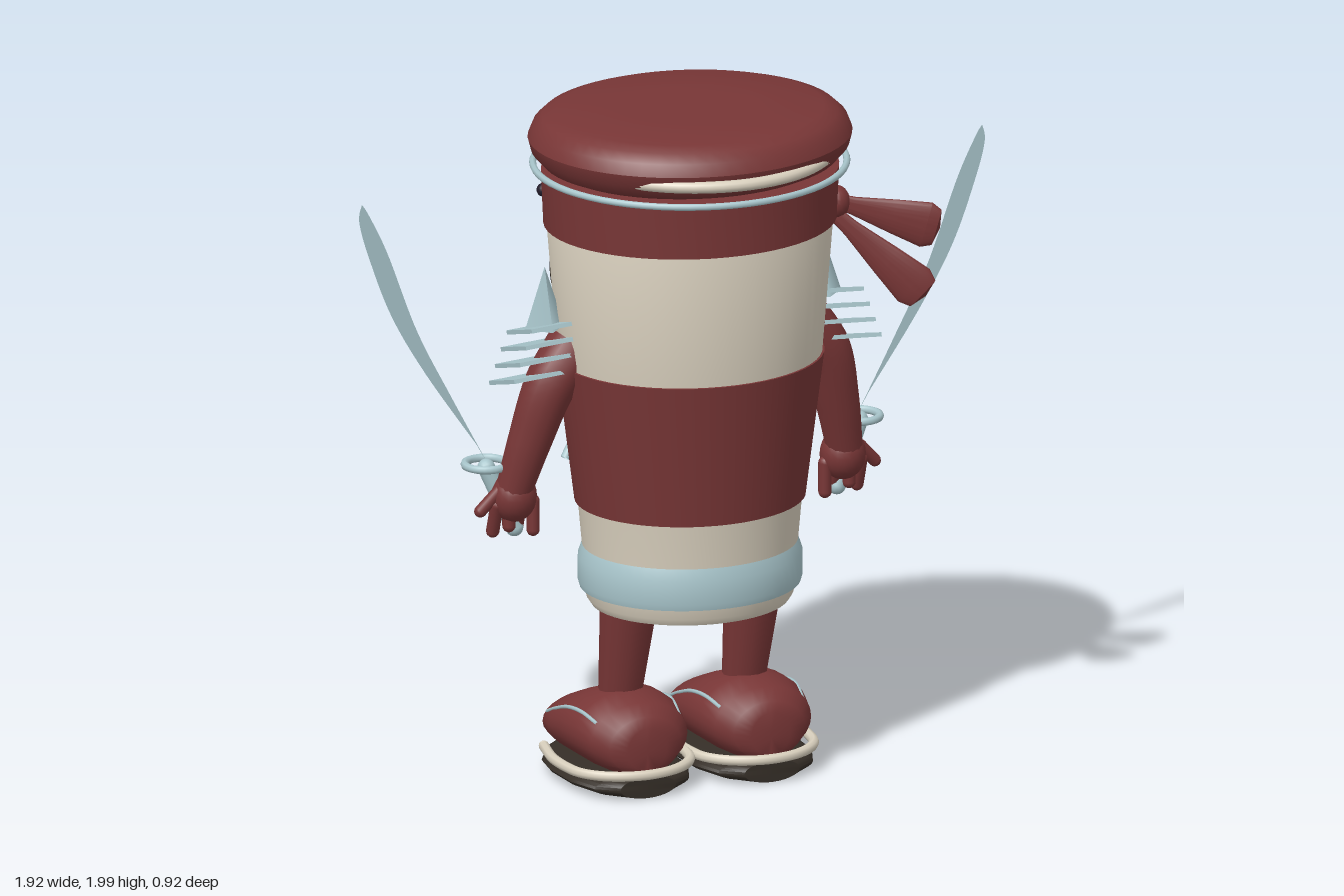
import * as THREE from 'three';
import { toCreasedNormals } from 'three/addons/utils/BufferGeometryUtils.js';

const mat = (name, color, side = THREE.FrontSide) => new THREE.MeshStandardMaterial({ name, color, side });
const red = mat('brick red', 0x783636);
const cream = mat('cream', 0xd9d0be);
const steel = mat('pale steel', 0xa9c6cc, THREE.DoubleSide);
const brown = mat('dark brown', 0x352e27);
const ink = mat('ink purple', 0x231c2b);

const V = (x, y, z) => new THREE.Vector3(x, y, z);

export function createModel() {
  const model = new THREE.Group();
  model.name = 'cupWarrior';

  const add = (parent, name, geo, material, x = 0, y = 0, z = 0) => {
    const m = new THREE.Mesh(geo, material);
    m.name = name;
    m.position.set(x, y, z);
    parent.add(m);
    return m;
  };
  const lathe = (pts) =>
    toCreasedNormals(new THREE.LatheGeometry(pts.map((p) => new THREE.Vector2(p[0], p[1])), 56), 0.6);

  // Capsule between two points
  const rod = (parent, name, a, b, r, material) => {
    const m = add(parent, name, new THREE.CapsuleGeometry(r, a.distanceTo(b), 5, 12), material);
    m.position.copy(a).lerp(b, 0.5);
    m.quaternion.setFromUnitVectors(V(0, 1, 0), b.clone().sub(a).normalize());
    return m;
  };

  // Tube whose radius changes from r0 to r1
  const taperTube = (pts, r0, r1, seg = 20, radial = 14) => {
    const curve = new THREE.CatmullRomCurve3(pts);
    const geo = new THREE.TubeGeometry(curve, seg, 1, radial);
    const pos = geo.attributes.position, v = V(0, 0, 0);
    for (let i = 0; i < pos.count; i++) {
      const t = Math.floor(i / (radial + 1)) / seg, c = curve.getPointAt(t);
      v.fromBufferAttribute(pos, i).sub(c).multiplyScalar(r0 + (r1 - r0) * t).add(c);
      pos.setXYZ(i, v.x, v.y, v.z);
    }
    return geo;
  };

  // Elliptical sections [z, halfWidth, yLow, yHigh] running from heel to toe
  const loft = (sections, n = 28) => {
    const pos = [], idx = [];
    sections.forEach(([z, w, y0, y1], i) => {
      for (let j = 0; j < n; j++) {
        const a = (j / n) * Math.PI * 2;
        pos.push(Math.cos(a) * w, (y0 + y1) / 2 + (Math.sin(a) * (y1 - y0)) / 2, z);
        if (i === sections.length - 1) continue;
        const p = i * n + j, q = i * n + ((j + 1) % n);
        idx.push(p, p + n, q, q, p + n, q + n);
      }
    });
    const g = new THREE.BufferGeometry();
    g.setAttribute('position', new THREE.Float32BufferAttribute(pos, 3));
    g.setIndex(idx);
    g.computeVertexNormals();
    return toCreasedNormals(g, 0.7);
  };

  // Slightly oval cup body
  const cup = new THREE.Group();
  cup.name = 'cupBody';
  cup.position.z = 0.02;
  cup.scale.z = 0.9;
  model.add(cup);
  add(cup, 'cup', lathe([[0, 0.58], [0.24, 0.58], [0.25, 0.545], [0.285, 0.54], [0.298, 0.56],
    [0.302, 0.62], [0.322, 0.84], [0.38, 1.27], [0.412, 1.67], [0.38, 1.8], [0, 1.8]]), cream);
  add(cup, 'lowerBand', lathe([[0.29, 0.592], [0.318, 0.592], [0.323, 0.61], [0.322, 0.68],
    [0.31, 0.715], [0.295, 0.722]]), steel);
  add(cup, 'sleeve', lathe([[0.31, 0.845], [0.332, 0.845], [0.386, 1.27], [0.37, 1.272]]), red);
  add(cup, 'headband', lathe([[0.39, 1.665], [0.421, 1.665], [0.428, 1.82], [0, 1.84]]), red);
  add(cup, 'lid', lathe([[0, 1.835], [0.39, 1.835], [0.425, 1.85], [0.457, 1.885], [0.466, 1.92],
    [0.452, 1.955], [0.425, 1.98], [0.385, 1.993], [0.2, 2.0], [0, 2.0]]), red);

  // Rims below the lid
  const rim = add(model, 'lidRim', new THREE.TorusGeometry(0.446, 0.01, 8, 64), steel, 0, 1.835, 0.018);
  rim.rotation.x = Math.PI / 2;
  rim.scale.y = 0.97;
  const lip = add(model, 'lidLip', new THREE.TorusGeometry(0.425, 0.017, 10, 64), cream, 0, 1.89, 0.02);
  lip.rotation.x = Math.PI / 2;
  lip.scale.x = 0.95;

  // Forehead plate with rivets and an oval ring
  const plate = add(model, 'foreheadPlate',
    new THREE.CylinderGeometry(0.443, 0.437, 0.125, 20, 1, true, Math.PI - 0.54, 1.08), steel, 0, 1.735, 0.02);
  plate.scale.z = 0.915;
  const ring = add(model, 'foreheadRing', new THREE.TorusGeometry(0.055, 0.012, 8, 32), steel, 0, 1.775, -0.445);
  ring.scale.x = 1.65;
  rod(model, 'ringMount', V(0, 1.775, -0.38), V(0, 1.775, -0.42), 0.015, cream);

  for (const s of [-1, 1]) {
    const side = s > 0 ? 'left' : 'right';
    add(model, side + 'Rivet', new THREE.SphereGeometry(0.014, 10, 8), ink, s * 0.185, 1.735, -0.35);

    // Eye: stacked domes turned outward
    const eye = new THREE.Group();
    eye.name = side + 'Eye';
    eye.position.set(s * 0.19, 1.475, -0.31);
    eye.rotation.y = -s * 0.35;
    model.add(eye);
    const dome = (name, material, x, y, z, rx, ry, rz) =>
      add(eye, name, new THREE.SphereGeometry(1, 28, 18), material, x, y, z).scale.set(rx, ry, rz);
    dome('eyeRim', brown, 0, 0, 0, 0.122, 0.165, 0.04);
    dome('eyeWhite', cream, -s * 0.01, -0.01, -0.02, 0.1, 0.138, 0.035);
    dome('iris', brown, -s * 0.015, 0, -0.035, 0.072, 0.102, 0.032);
    dome('pupil', ink, -s * 0.018, 0, -0.046, 0.05, 0.074, 0.029);
    dome('glint', cream, -s * 0.005, 0.035, -0.07, 0.016, 0.024, 0.009);
    rod(model, side + 'Eyebrow', V(s * 0.1, 1.59, -0.39), V(s * 0.29, 1.675, -0.355), 0.02, ink);

    // Curved trim on the chest
    const trim = [V(s * 0.27, 1.15, -0.32), V(s * 0.2, 1.1, -0.345), V(s * 0.17, 1.03, -0.355),
      V(s * 0.19, 0.95, -0.35), V(s * 0.235, 0.88, -0.33)];
    add(model, side + 'ChestTrim', taperTube(trim, 0.013, 0.013, 24, 8), steel);

    // Arm and hand
    add(model, side + 'Arm', taperTube([V(s * 0.34, 1.33, 0), V(s * 0.42, 1.22, 0), V(s * 0.47, 1.06, -0.025),
      V(s * 0.51, 0.89, -0.06)], 0.085, 0.052), red);
    add(model, side + 'Hand', new THREE.SphereGeometry(1, 20, 14), red, s * 0.505, 0.88, -0.065)
      .scale.set(0.066, 0.075, 0.065);
    for (let i = 0; i < 4; i++) {
      const x = s * (0.448 + i * 0.037);
      rod(model, side + 'Finger', V(x, 0.86, -0.06), V(x, 0.775 + (i % 3) * 0.01, -0.06 - (i % 2) * 0.03), 0.019, red);
    }
    rod(model, side + 'Thumb', V(s * 0.555, 0.9, -0.06), V(s * 0.605, 0.845, -0.07), 0.018, red);

    // Sword: paper-thin curved blade, ring guard, hilt
    const blade = new THREE.Shape();
    blade.moveTo(s * 0.555, 0.95);
    blade.splineThru([[0.677, 1.18], [0.783, 1.39], [0.873, 1.63], [0.93, 1.75], [0.952, 1.785]]
      .map((p) => new THREE.Vector2(s * p[0], p[1])));
    blade.splineThru([[0.96, 1.735], [0.932, 1.63], [0.862, 1.445], [0.757, 1.26], [0.6, 1.03]]
      .map((p) => new THREE.Vector2(s * p[0], p[1])));
    add(model, side + 'Blade', new THREE.ShapeGeometry(blade, 6), steel, 0, 0, -0.11);
    add(model, side + 'SwordGuard', new THREE.TorusGeometry(0.06, 0.012, 8, 28), steel, s * 0.572, 0.97, -0.108)
      .rotation.x = Math.PI / 2;
    rod(model, side + 'Hilt', V(s * 0.572, 0.96, -0.105), V(s * 0.495, 0.78, -0.085), 0.026, steel);

    // Layered shoulder guard with a spike
    for (let i = 0; i < 4; i++) {
      const w = 0.135 + i * 0.018;
      const p = add(model, side + 'ShoulderPlate', new THREE.BoxGeometry(w, 0.012, 0.19), steel,
        s * (0.375 + w / 2), 1.385 - i * 0.047, -0.015);
      p.rotation.set(-0.3, 0, -s * 0.06);
    }
    add(model, side + 'ShoulderSpike', new THREE.ConeGeometry(0.06, 0.18, 4), steel, s * 0.425, 1.47, -0.03);

    // Leg
    add(model, side + 'Leg', taperTube([V(s * 0.19, 0.6, 0.035), V(s * 0.19, 0.42, -0.005),
      V(s * 0.19, 0.24, -0.045)], 0.085, 0.06), red);

    // Shoe with sole, rim and lace
    const shoe = new THREE.Group();
    shoe.name = side + 'Shoe';
    shoe.position.x = s * 0.19;
    model.add(shoe);
    add(shoe, 'shoeUpper', loft([[0.162, 0, 0.14, 0.16], [0.16, 0.06, 0.09, 0.215], [0.145, 0.11, 0.075, 0.245],
      [0.1, 0.148, 0.065, 0.275], [0.02, 0.168, 0.06, 0.292], [-0.07, 0.174, 0.06, 0.285], [-0.16, 0.17, 0.06, 0.252],
      [-0.25, 0.148, 0.06, 0.215], [-0.305, 0.11, 0.062, 0.18], [-0.33, 0.065, 0.07, 0.15], [-0.336, 0, 0.1, 0.12]]), red);
    add(shoe, 'sole', loft([[0.166, 0, 0.012, 0.075], [0.166, 0.085, 0.012, 0.075], [0.12, 0.145, 0.01, 0.075],
      [0.03, 0.18, 0.01, 0.075], [-0.1, 0.187, 0.01, 0.072], [-0.2, 0.172, 0.01, 0.07], [-0.29, 0.12, 0.01, 0.068],
      [-0.33, 0.07, 0.012, 0.066], [-0.33, 0, 0.012, 0.066]]), brown);
    const rimPts = [V(0.18, 0.08, -0.28), V(0.187, 0.08, -0.1)];
    for (let i = 0; i <= 8; i++) {
      const a = (i / 8) * Math.PI;
      rimPts.push(V(Math.cos(a) * 0.183, 0.08, 0.01 + Math.sin(a) * 0.155));
    }
    rimPts.push(V(-0.187, 0.08, -0.08), V(-0.165, 0.08, -0.2));
    add(shoe, 'soleRim', taperTube(rimPts, 0.015, 0.015, 60, 8), cream);
    for (const e of [rimPts[0], rimPts[rimPts.length - 1]])
      add(shoe, 'rimEnd', new THREE.SphereGeometry(0.015, 10, 8), cream, e.x, e.y, e.z);
    for (const t of [-1, 1])
      add(shoe, 'lace', taperTube([V(t * 0.125, 0.225, 0.09), V(t * 0.14, 0.24, 0.01), V(t * 0.148, 0.232, -0.07),
        V(t * 0.15, 0.205, -0.15), V(t * 0.142, 0.172, -0.23)], 0.006, 0.005, 20, 6), steel);
  }

  // Headband tails: flattened leaves fanning from a knot
  const tail = (a, b, w, name) => {
    const d = b.clone().sub(a), len = d.length();
    d.normalize();
    const z = V(-0.42, 0, 0.9).addScaledVector(d, -V(-0.42, 0, 0.9).dot(d)).normalize();
    const x = d.clone().cross(z);
    const m = add(model, name, lathe([[0, 0], [0.3 * w, 0.02 * len], [0.4 * w, 0.25 * len], [0.75 * w, 0.6 * len],
      [w, 0.88 * len], [0.8 * w, 0.97 * len], [0, len]]), red);
    m.quaternion.setFromRotationMatrix(new THREE.Matrix4().makeBasis(x, d, z));
    m.position.copy(a);
    m.scale.z = 0.28;
  };
  tail(V(0.38, 1.7, 0.1), V(0.68, 1.61, 0.225), 0.068, 'upperHeadbandTail');
  tail(V(0.38, 1.68, 0.11), V(0.63, 1.42, 0.24), 0.066, 'lowerHeadbandTail');
  add(model, 'headbandKnot', new THREE.SphereGeometry(0.04, 16, 12), red, 0.41, 1.69, 0.11).scale.y = 1.2;

  return model;
}
